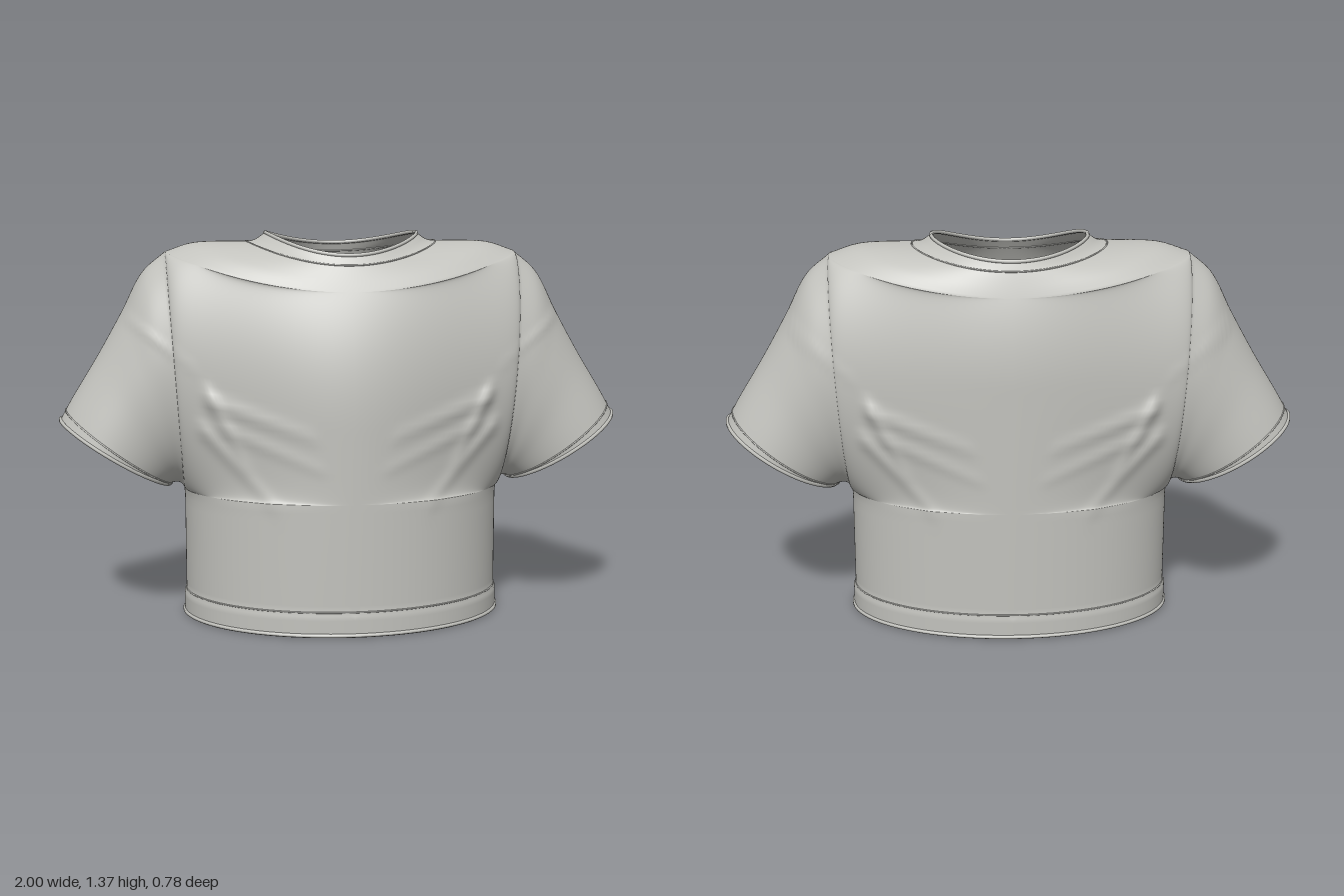
import * as THREE from 'three';
import { mergeVertices } from 'three/addons/utils/BufferGeometryUtils.js';

const V = (x, y, z = 0) => new THREE.Vector3(x, y, z);
const ZC = -0.04;                 // plane of the side and shoulder seams
const NB = 48, NC = 18, NU = 44;  // armhole rows, shoulder rows, columns per half
const HEM = [0.008, 0.03, 0.06, 0.076, 0.088, 0.11, 0.15, 0.2, 0.25, 0.3, 0.35, 0.4, 0.43];
const NA = HEM.length;

// Sleeve outline: top points carry the half depth in z
const sleeveTop = new THREE.CatmullRomCurve3([
  V(0.62, 1.295, 0.235), V(0.70, 1.225, 0.228), V(0.775, 1.085, 0.221),
  V(0.86, 0.935, 0.213), V(0.955, 0.78, 0.211), V(0.994, 0.71, 0.211)]);
const sleeveBottom = new THREE.CatmullRomCurve3([
  V(0.565, 0.46), V(0.572, 0.47), V(0.58, 0.476), V(0.59, 0.478), V(0.602, 0.478), V(0.612, 0.474)]);
const shoulderLine = new THREE.CatmullRomCurve3([
  V(0.62, 1.295), V(0.53, 1.325), V(0.45, 1.331), V(0.38, 1.331), V(0.31, 1.334), V(0.268, 1.36)]);

// Point on a sleeve ring: phi runs under, front, top, back
function sleevePoint(s, phi) {
  const top = sleeveTop.getPoint(s), bottom = sleeveBottom.getPoint(s);
  const t = (1 - Math.cos(phi)) / 2;
  return V(bottom.x + (top.x - bottom.x) * t, bottom.y + (top.y - bottom.y) * t, ZC + top.z * Math.sin(phi));
}

const frontZ = y => 0.378 - 0.54 * Math.max(0, y - 0.7) ** 2.36;
const backZ = y => -0.38 + 0.47 * Math.max(0, y - 0.9) ** 2;

// Point on the body: rows climb from hem past the armhole and over the shoulder to the neck
function bodyPoint(row, u, front) {
  let side, yMid, bell = 0, flare = 1;
  if (row < NA) {
    yMid = HEM[row];
    side = V(0.562, yMid, ZC);
    if (yMid < 0.08) flare = 1.012;
  } else if (row <= NA + NB) {
    const phi = (row - NA) / NB * Math.PI;
    side = sleevePoint(0, front ? phi : -phi);
    yMid = 0.46 + (front ? 0.71 : 0.74) * (1 - Math.cos(phi)) / 2;
    bell = 0.6 * Math.sin(phi);
  } else {
    const k = (row - NA - NB) / NC;
    side = shoulderLine.getPoint(k);
    side.z = ZC;
    yMid = front ? 1.17 + 0.12 * k : 1.2 + 0.115 * k;
  }
  const a = u * Math.PI / 2, X = Math.sin(a);
  const mid = front ? frontZ(yMid) : backZ(yMid);
  const f = Math.cos(a) * (1 - bell) + bell * (1 + Math.cos(Math.PI * X)) / 2;
  return V(side.x * X * flare, yMid + (side.y - yMid) * X * X, side.z + (mid * flare - side.z) * f);
}

// Cloth folds and the sleeve seam: [x0, y0, x1, y1, width, height]
const FOLDS = [
  [0.48, 0.80, 0.15, 0.69, 0.022, 0.012], [0.48, 0.82, 0.36, 0.58, 0.022, 0.012],
  [0.50, 0.70, 0.27, 0.45, 0.024, 0.012], [0.44, 0.71, 0.12, 0.58, 0.022, 0.008],
  [0.77, 1.085, 0.53, 0.91, 0.014, 0.006]];

function addFolds(p) {
  const x = Math.abs(p.x), d = p.z - ZC;
  let h = 0;
  for (const [x0, y0, x1, y1, w, amp] of FOLDS) {
    const dx = x1 - x0, dy = y1 - y0;
    const t = ((x - x0) * dx + (p.y - y0) * dy) / (dx * dx + dy * dy);
    const c = THREE.MathUtils.clamp(t, 0, 1);
    const dist2 = (x - x0 - c * dx) ** 2 + (p.y - y0 - c * dy) ** 2;
    h += amp * Math.exp(-dist2 / (w * w)) * (1 - 0.7 * c);
  }
  p.z += Math.sign(d) * h * THREE.MathUtils.smoothstep(Math.abs(d), 0.02, 0.12);
  return p;
}

function addGrid(positions, fn, nu, nv, flip) {
  const grid = [];
  for (let j = 0; j <= nv; j++) {
    grid.push([]);
    for (let i = 0; i <= nu; i++) grid[j].push(addFolds(fn(i, j)));
  }
  for (let j = 0; j < nv; j++) for (let i = 0; i < nu; i++) {
    const a = grid[j][i], b = grid[j][i + 1], c = grid[j + 1][i + 1], d = grid[j + 1][i];
    const order = flip ? [a, c, b, a, d, c] : [a, b, c, a, c, d];
    for (const p of order) positions.push(p.x, p.y, p.z);
  }
}

// Body panels and sleeves welded into one smooth cloth
function clothGeometry() {
  const positions = [], NS = 36;
  for (const sx of [1, -1]) {
    for (const front of [true, false]) {
      addGrid(positions, (i, j) => {
        const p = bodyPoint(j, i / NU, front);
        p.x *= sx;
        return p;
      }, NU, NA + NB + NC, (sx > 0) !== front);
    }
    addGrid(positions, (i, j) => {
      const p = sleevePoint(i / NS, j / NB * Math.PI);
      p.x *= sx;
      return p;
    }, NS, NB * 2, sx < 0);
  }
  const raw = new THREE.BufferGeometry();
  raw.setAttribute('position', new THREE.Float32BufferAttribute(positions, 3));
  const geometry = mergeVertices(raw, 1e-4);
  geometry.computeVertexNormals();
  return geometry;
}

// Closed loop round the body at one row
function bodyLoop(row) {
  const points = [], n = 16;
  for (let q = 0; q < 4; q++) for (let i = 0; i < n; i++) {
    const u = q % 2 ? 1 - i / n : i / n;
    const p = bodyPoint(row, u, q === 0 || q === 3);
    if (q > 1) p.x *= -1;
    points.push(p);
  }
  return points;
}

function sleeveLoop(s, sx) {
  return Array.from({ length: 40 }, (_, i) => {
    const p = sleevePoint(s, i / 40 * Math.PI * 2);
    p.x *= sx;
    return p;
  });
}

export function createModel() {
  const group = new THREE.Group();
  group.name = 'shirt';
  const cloth = new THREE.MeshStandardMaterial({ color: 0xc2c2bd, side: THREE.DoubleSide });
  cloth.name = 'greyCloth';

  const add = (name, geometry) => {
    const mesh = new THREE.Mesh(geometry, cloth);
    mesh.name = name;
    group.add(mesh);
  };
  const addTrim = (name, points, radius) => add(name,
    new THREE.TubeGeometry(new THREE.CatmullRomCurve3(points, true), 120, radius, 6, true));

  add('bodyAndSleeves', clothGeometry());

  // Rolled edges and stitch lines
  addTrim('hemEdge', bodyLoop(0), 0.007);
  addTrim('hemStitch', bodyLoop(4), 0.003);
  addTrim('collarEdge', bodyLoop(NA + NB + NC), 0.007);
  addTrim('collarStitch', bodyLoop(NA + NB + 13), 0.003);
  for (const [side, sx] of [['left', 1], ['right', -1]]) {
    addTrim(side + 'CuffEdge', sleeveLoop(1, sx), 0.007);
    addTrim(side + 'CuffStitch', sleeveLoop(0.9, sx), 0.003);
  }
  return group;
}
